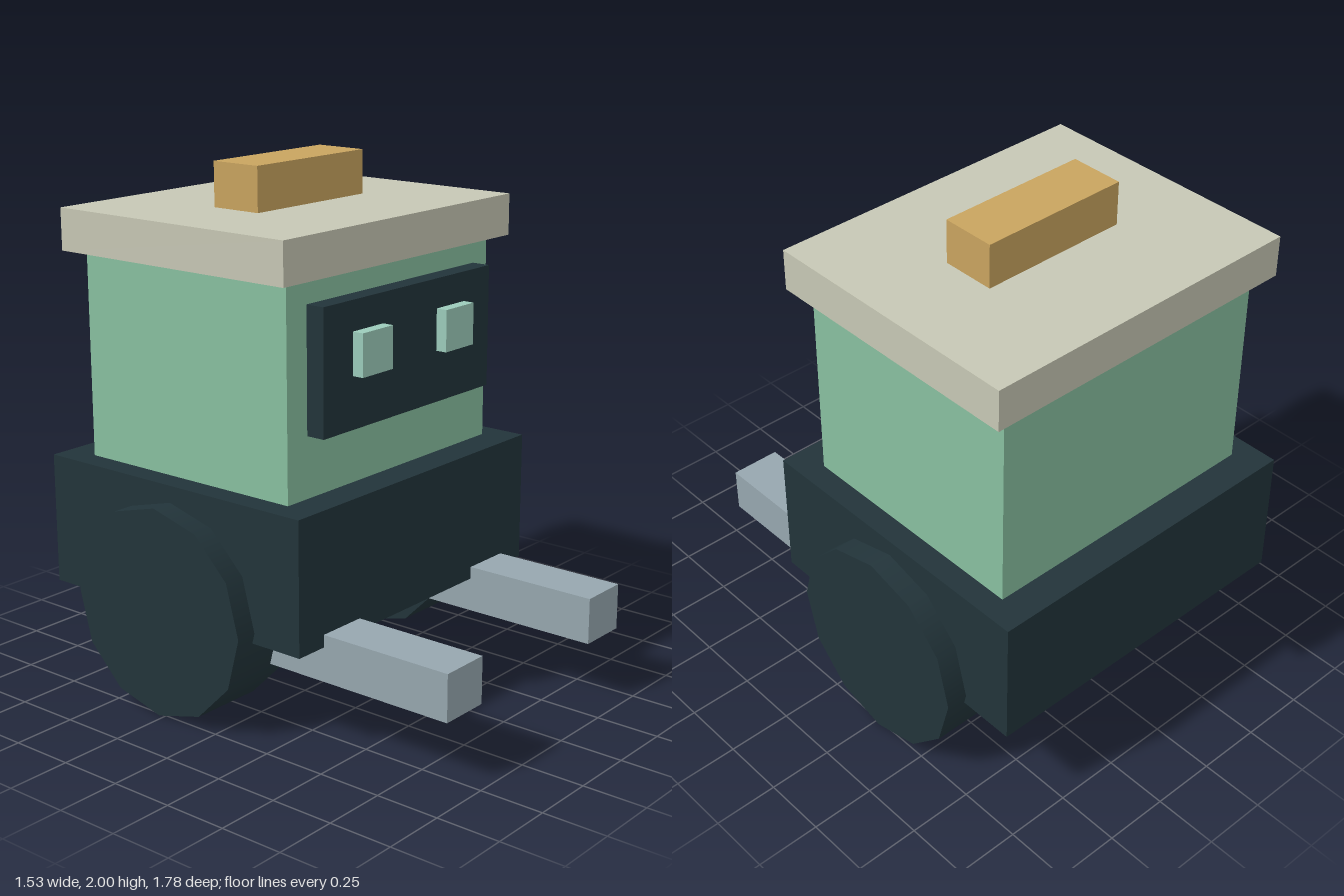
import * as THREE from 'three';

const material = (name, color) => {
  const m = new THREE.MeshStandardMaterial({ color });
  m.name = name;
  return m;
};

export function createModel() {
  const dark = material('dark slate', 0x22343a);
  const green = material('sage green', 0x88c0a0);
  const cream = material('warm grey', 0xc7c8b5);
  const ochre = material('ochre', 0xc9a45f);
  const steel = material('steel grey', 0x97a7af);
  const mint = material('pale mint', 0x9cccbb);

  const model = new THREE.Group();
  model.name = 'robotCart';

  // Box given by its extents along each axis
  const box = (name, mat, [x0, x1], [y0, y1], [z0, z1]) => {
    const mesh = new THREE.Mesh(new THREE.BoxGeometry(x1 - x0, y1 - y0, z1 - z0), mat);
    mesh.position.set((x0 + x1) / 2, (y0 + y1) / 2, (z0 + z1) / 2);
    mesh.name = name;
    model.add(mesh);
    return mesh;
  };

  // Body, head, lid and handle
  box('chassis', dark, [-0.68, 0.68], [0.365, 0.875], [-0.888, 0.345]);
  box('head', green, [-0.587, 0.587], [0.875, 1.67], [-0.76, 0.217]);
  box('lid', cream, [-0.66, 0.66], [1.67, 1.83], [-0.813, 0.27]);
  box('handle', ochre, [-0.3, 0.3], [1.83, 2], [-0.378, -0.165]);

  // Face panel stands just off the head
  box('facePanel', dark, [-0.49, 0.49], [1.11, 1.58], [0.225, 0.3]);

  // Paired parts
  const wheelShape = new THREE.CylinderGeometry(0.405, 0.405, 0.295, 12).rotateZ(Math.PI / 2);
  for (const [side, s] of [['left', 1], ['right', -1]]) {
    const span = (a, b) => (s > 0 ? [a, b] : [-b, -a]);
    box(side + 'Eye', mint, span(0.16, 0.33), [1.307, 1.467], [0.3, 0.345]);
    box(side + 'Fork', steel, span(0.345, 0.547), [0.233, 0.413], [-0.08, 0.888]);

    const wheel = new THREE.Mesh(wheelShape, dark);
    wheel.position.set(s * 0.6175, 0.405, -0.27);
    wheel.name = side + 'Wheel';
    model.add(wheel);
  }
  return model;
}
